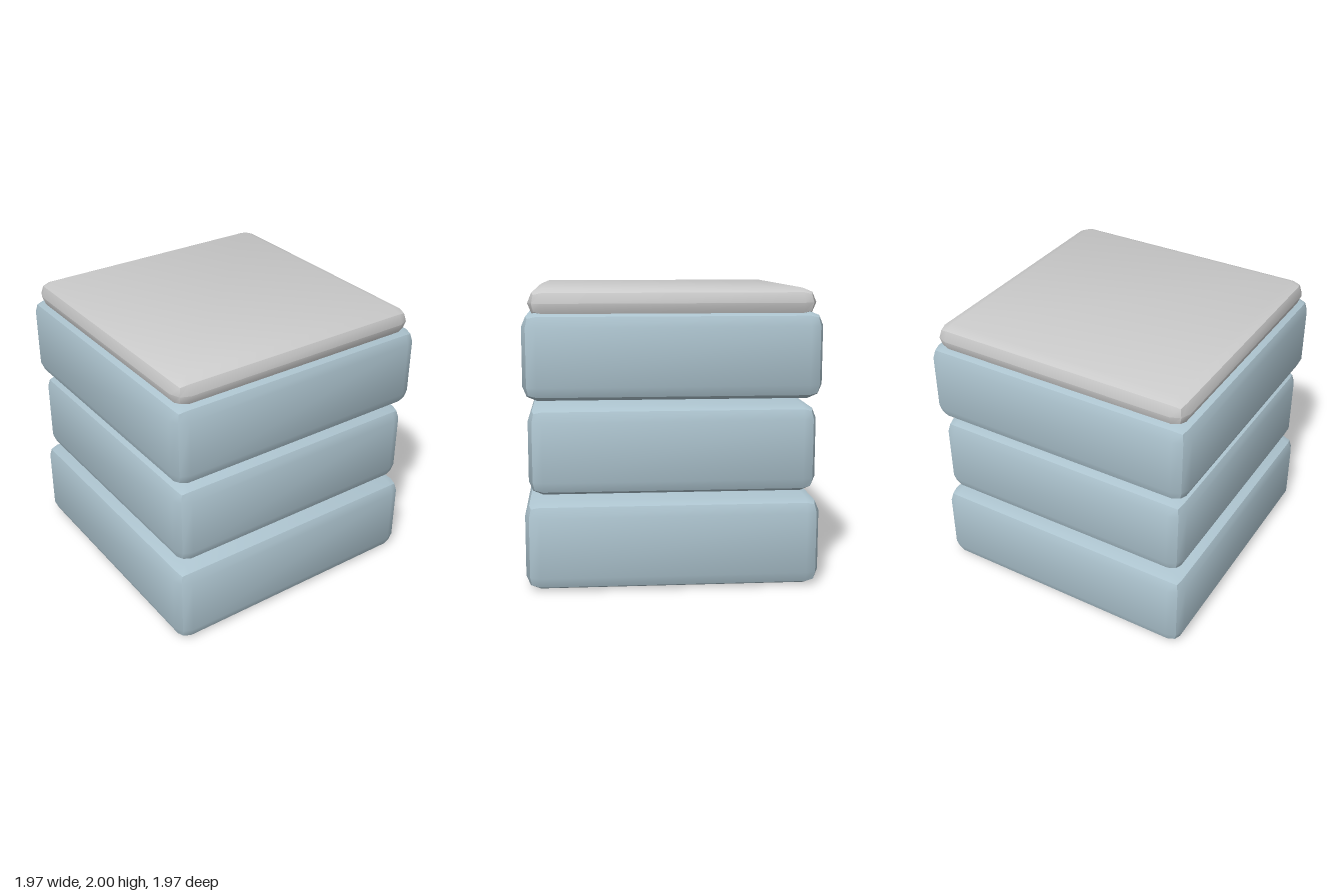
import * as THREE from 'three';
import { RoundedBoxGeometry } from 'three/addons/geometries/RoundedBoxGeometry.js';
import { toCreasedNormals } from 'three/addons/utils/BufferGeometryUtils.js';

const BEVEL = 0.095;

// Square slab with a two-step bevel, placed by its bottom and top heights
function slab(name, width, bottom, top, material) {
  const rounded = new RoundedBoxGeometry(width, top - bottom, width, 1, BEVEL);
  const mesh = new THREE.Mesh(toCreasedNormals(rounded, 0.6), material);
  mesh.name = name;
  mesh.position.y = (bottom + top) / 2;
  return mesh;
}

export function createModel() {
  const blue = new THREE.MeshStandardMaterial({ color: 0xadc4cf });
  const grey = new THREE.MeshStandardMaterial({ color: 0xcccccc });

  const model = new THREE.Group();
  model.name = 'stackedSlabs';
  model.add(
    // Three stacked tiers, the middle one slightly inset
    slab('bottomTier', 1.974, 0, 0.6, blue),
    slab('middleTier', 1.918, 0.64, 1.23, blue),
    slab('topTier', 1.974, 1.273, 1.85, blue),
    // Thin lid sunk slightly into the top tier
    slab('lid', 1.894, 1.81, 2, grey),
  );
  return model;
}
